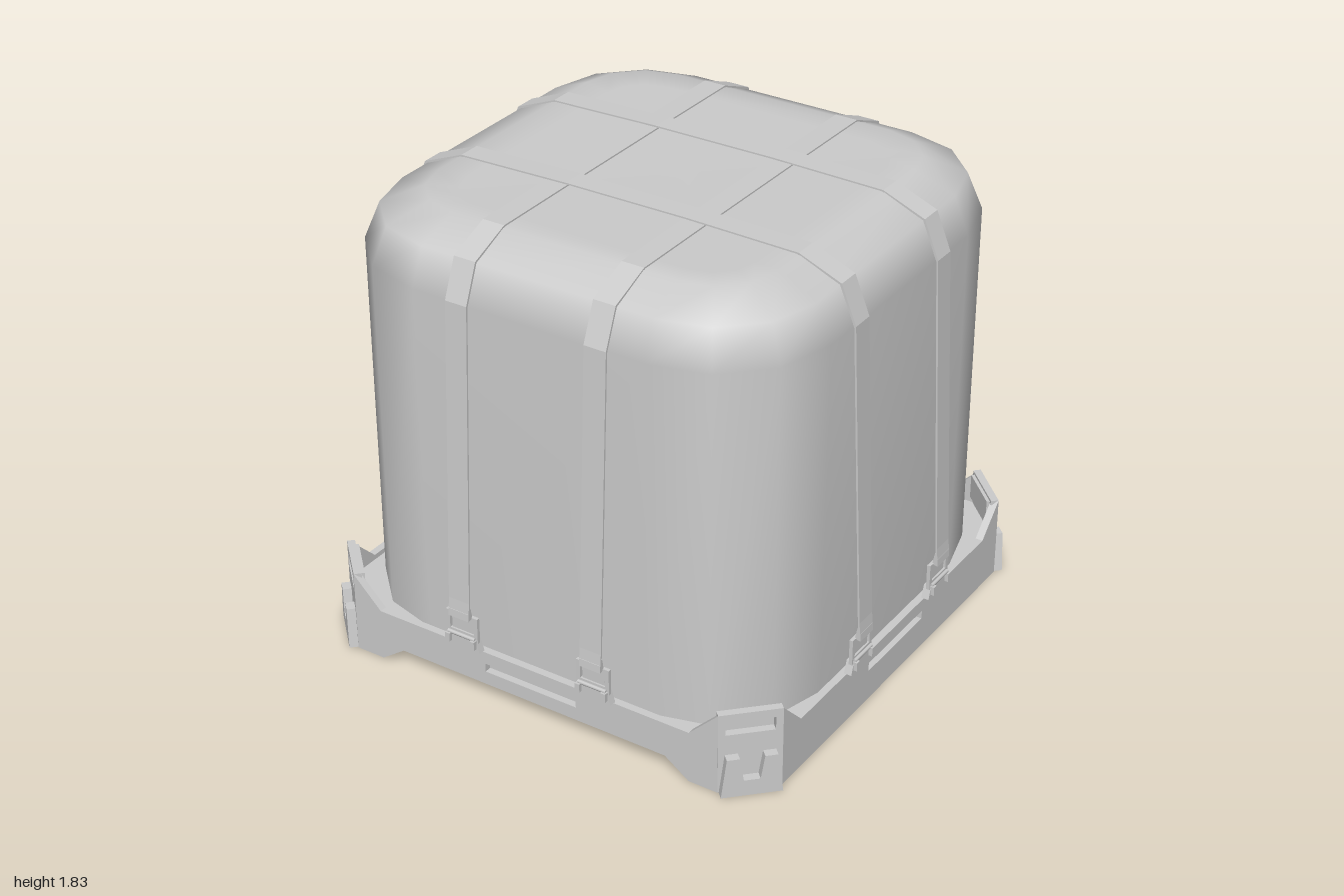
import * as THREE from 'three';

const grey = new THREE.MeshStandardMaterial({ color: 0xcccccc });
const V = (pts) => pts.map(([x, y]) => new THREE.Vector2(x, y));

function add(parent, name, geometry) {
  const m = new THREE.Mesh(geometry, grey);
  m.name = name;
  parent.add(m);
  return m;
}

// Flat plate drawn in xy, from z = z0 to z0 + depth, with optional holes
function plate(pts, z0, depth, holes = []) {
  const s = new THREE.Shape(V(pts));
  holes.forEach((h) => s.holes.push(new THREE.Path(V(h))));
  return new THREE.ExtrudeGeometry(s, { depth, bevelEnabled: false }).translate(0, 0, z0);
}
const rect = (x0, y0, x1, y1) => [[x0, y0], [x1, y0], [x1, y1], [x0, y1]];
const mirrored = (half) => [...half, ...half.slice().reverse().map(([x, y]) => [-x, y])];

// Rounded-square rings [half width, corner radius, height] skinned into one smooth shell
function coverGeometry(rings) {
  const pos = [], idx = [], n = 16;
  for (const [half, r, y] of rings)
    for (let c = 0; c < 4; c++)
      for (let k = 0; k < 4; k++) {
        const a = (c + k / 3) * Math.PI / 2;
        const q = (c + 0.5) * Math.PI / 2;
        pos.push(Math.sign(Math.cos(q)) * (half - r) + r * Math.cos(a), y,
          Math.sign(Math.sin(q)) * (half - r) + r * Math.sin(a));
      }
  for (let i = 0; i < rings.length - 1; i++)
    for (let j = 0; j < n; j++) {
      const a = i * n + j, b = i * n + (j + 1) % n;
      idx.push(a, a + n, b, b, a + n, b + n);
    }
  const last = (rings.length - 1) * n;
  pos.push(0, rings[rings.length - 1][2], 0);
  for (let j = 0; j < n; j++) idx.push(last + j, rings.length * n, last + (j + 1) % n);
  const g = new THREE.BufferGeometry();
  g.setAttribute('position', new THREE.Float32BufferAttribute(pos, 3));
  g.setIndex(idx);
  g.computeVertexNormals();
  return g;
}

// Strap running over the load along x
function strapGeometry(crown) {
  const half = [[0.998, 0.36], [0.992, 0.42], [0.934, 1.603], [0.874, 1.749], [0.705, 1.817], [0.25, crown]];
  const outer = mirrored(half);
  const inner = outer.map(([x, y]) => [x - Math.sign(x) * 0.007, y - (y > 1 ? 0.006 : 0)]).reverse();
  return plate([...outer, ...inner], -0.045, 0.09);
}

// Buckle standing on the tray rim, facing +z
function makeBuckle() {
  const g = new THREE.Group();
  g.name = 'buckle';
  add(g, 'buckleBracket', plate(mirrored([[0.078, 0.21], [0.062, 0.262]]), 0.955, 0.03));
  add(g, 'buckleFrame', plate(rect(-0.07, 0.25, 0.07, 0.355), 0.968, 0.014,
    [rect(-0.053, 0.28, 0.053, 0.34)]));
  add(g, 'bucklePanel', plate(rect(-0.048, 0.275, 0.048, 0.345), 0.965, 0.01));
  for (const s of [-1, 1])
    add(g, 'buckleLug', new THREE.BoxGeometry(0.02, 0.035, 0.03)).position.set(s * 0.055, 0.245, 0.985);
  add(g, 'buckleBar', new THREE.CylinderGeometry(0.008, 0.008, 0.12, 8).rotateZ(Math.PI / 2))
    .position.set(0, 0.265, 0.985);
  // folded end of the strap
  const fold = plate([[0.999, 0.345], [0.997, 0.375], [0.985, 0.4], [0.975, 0.35]], -0.045, 0.09);
  add(g, 'strapFold', fold.rotateY(-Math.PI / 2));
  return g;
}

export function createModel() {
  const root = new THREE.Group();
  root.name = 'strappedCargoPallet';

  // Covered load
  add(root, 'cargoCover', coverGeometry([
    [0.925, 0.445, 0.15], [0.925, 0.445, 1.6], [0.867, 0.39, 1.742],
    [0.71, 0.25, 1.809], [0.6, 0.16, 1.8],
  ]));

  // Pallet floor, an octagon
  const a = 0.937, b = 0.787;
  add(root, 'palletFloor', plate(
    [[a, -b], [a, b], [b, a], [-b, a], [-a, b], [-a, -b], [-b, -a], [b, -a]], 0.07, 0.12,
  ).rotateX(-Math.PI / 2));

  // Four sides, each with a rim wall, handle slot and two buckles, plus one corner
  for (let i = 0; i < 4; i++) {
    const side = new THREE.Group();
    side.name = 'palletSide';
    side.rotation.y = i * Math.PI / 2;
    root.add(side);

    const bottom = i % 2 === 0 ? [[0.58, 0.07], [0.68, 0]] : [];
    add(side, 'rimWall', plate(
      mirrored([...bottom, [0.8, 0], [0.8, 0.33], [0.68, 0.21]]), 0.935, 0.03,
      [rect(-0.2, 0.125, 0.2, 0.16)]));
    for (const s of [-1, 1]) {
      const buckle = makeBuckle();
      buckle.position.x = s * 0.287;
      side.add(buckle);
    }

    const corner = new THREE.Group();
    corner.name = 'palletCorner';
    corner.rotation.y = Math.PI / 4;
    side.add(corner);
    add(corner, 'cornerPost', plate(rect(-0.116, 0, 0.116, 0.33), 1.218, 0.03,
      [rect(-0.09, 0.243, 0.09, 0.297)]));
    add(corner, 'slotBack', plate(rect(-0.1, 0.22, 0.1, 0.32), 1.205, 0.013));
    // Forked foot on the corner face
    add(corner, 'cornerFoot', plate(mirrored([
      [0.112, 0], [0.092, 0.16], [0.045, 0.16], [0.03, 0.065],
    ]), 1.24, 0.042));
  }

  // Crossed straps, two each way
  for (const s of [-1, 1]) {
    add(root, 'crossStrap', strapGeometry(1.826)).position.z = s * 0.287;
    const along = add(root, 'lengthStrap', strapGeometry(1.819));
    along.rotation.y = Math.PI / 2;
    along.position.x = s * 0.287;
  }
  return root;
}
